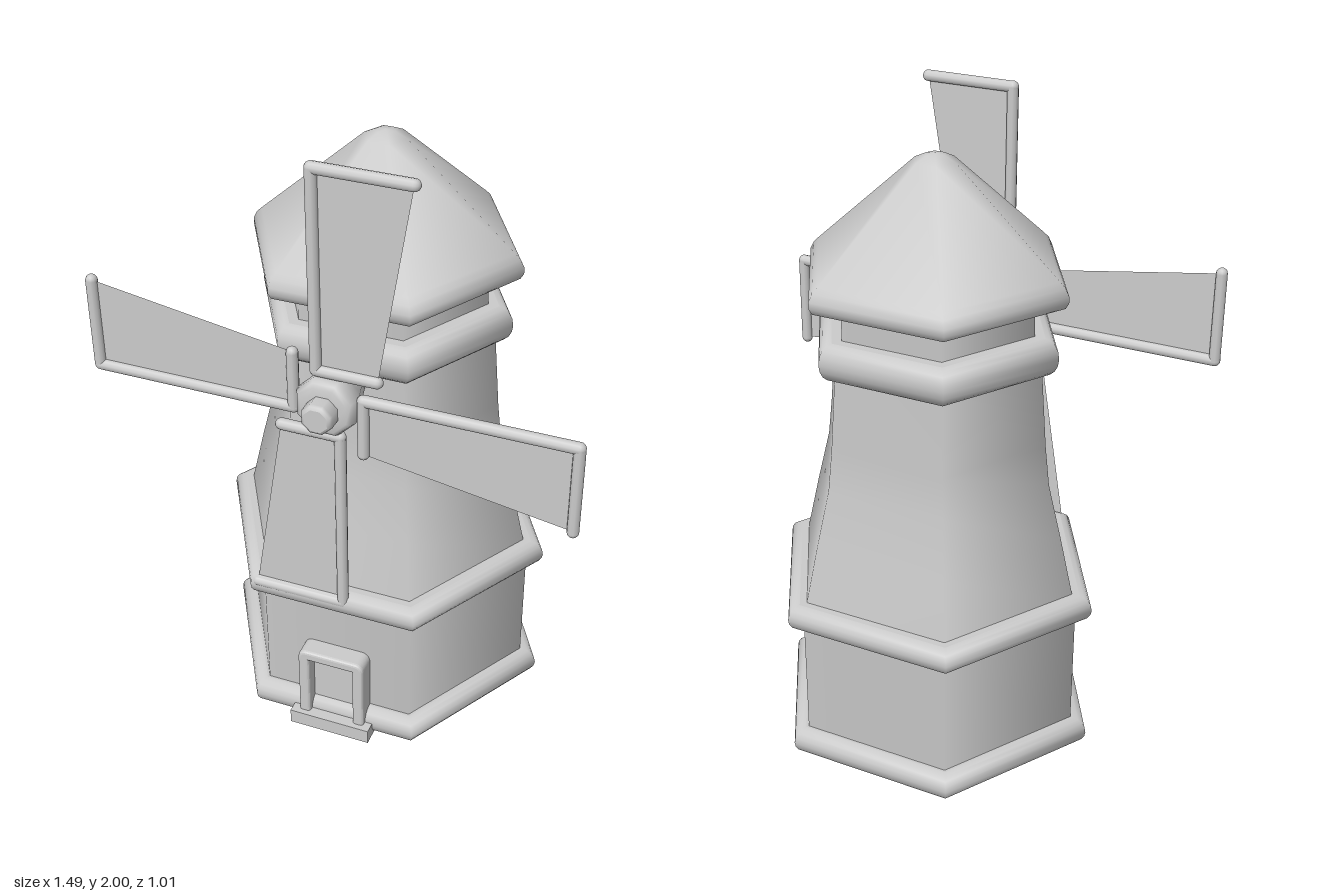
import * as THREE from 'three';

const material = new THREE.MeshStandardMaterial({ color: 0xcccccc, side: THREE.DoubleSide });
const TOWER_Z = -0.04;
const HUB_Y = 1.254;
const SAIL_Z = 0.41;

function mesh(name, geometry, parent) {
  const m = new THREE.Mesh(geometry, material);
  m.name = name;
  parent.add(m);
  return m;
}

// Lathed profile of [radius, height] points; a repeated point makes a sharp edge.
function lathe(name, profile, sides, parent) {
  const points = profile.map(([r, y]) => new THREE.Vector2(r, y));
  return mesh(name, new THREE.LatheGeometry(points, sides, Math.PI / sides), parent);
}

// Six-sided band with a rounded outer edge.
function band(name, y0, y1, outer, inner, parent) {
  const half = (y1 - y0) / 2;
  const bulge = Math.min(half, 0.045);
  const profile = [[inner, y0], [outer - bulge, y0]];
  for (let i = 0; i <= 8; i++) {
    const a = -Math.PI / 2 + (i / 8) * Math.PI;
    profile.push([outer - bulge + bulge * Math.cos(a), y0 + half + half * Math.sin(a)]);
  }
  profile.push([outer - bulge, y1], [inner, y1]);
  return lathe(name, profile, 6, parent);
}

// Round-ended bar between two points in the sail plane.
function bar(name, x0, y0, x1, y1, radius, parent) {
  const a = new THREE.Vector3(x0, y0, 0), b = new THREE.Vector3(x1, y1, 0);
  const dir = b.clone().sub(a);
  const m = mesh(name, new THREE.CapsuleGeometry(radius, dir.length(), 4, 10), parent);
  m.position.copy(a).add(b).multiplyScalar(0.5);
  m.quaternion.setFromUnitVectors(new THREE.Vector3(0, 1, 0), dir.normalize());
  return m;
}

function createTower() {
  const tower = new THREE.Group();
  tower.name = 'tower';
  tower.position.z = TOWER_Z;
  band('baseBand', 0, 0.09, 0.539, 0, tower);
  lathe('lowerWall', [[0.485, 0.05], [0.485, 0.5]], 6, tower);
  band('middleBand', 0.472, 0.556, 0.539, 0.4, tower);
  lathe('taperedWall', [
    [0.478, 0.53], [0.428, 0.74], [0.382, 0.92], [0.367, 1.05], [0.345, 1.33],
  ], 6, tower);
  band('upperBand', 1.282, 1.398, 0.4, 0.28, tower);
  lathe('neck', [[0.322, 1.36], [0.32, 1.51]], 6, tower);
  // Cap roof with a rounded eave and a blunt tip
  lathe('roof', [
    [0, 1.495], [0.395, 1.495], [0.395, 1.495], [0.414, 1.502], [0.424, 1.52], [0.424, 1.54],
    [0.412, 1.563], [0.395, 1.58], [0.065, 1.88], [0.03, 1.897], [0, 1.902],
  ], 6, tower);
  return tower;
}

function createDoor() {
  const door = new THREE.Group();
  door.name = 'door';
  // Surround: an upside-down U with softened edges
  const w = 0.1, iw = 0.083, r = 0.02, top = 0.295;
  const shape = new THREE.Shape();
  shape.moveTo(-w, 0.03);
  shape.lineTo(-w, top - r);
  shape.quadraticCurveTo(-w, top, -w + r, top);
  shape.lineTo(w - r, top);
  shape.quadraticCurveTo(w, top, w, top - r);
  shape.lineTo(w, 0.03);
  shape.lineTo(iw, 0.03);
  shape.lineTo(iw, top - 0.017);
  shape.lineTo(-iw, top - 0.017);
  shape.lineTo(-iw, 0.03);
  shape.closePath();
  const frame = new THREE.ExtrudeGeometry(shape, {
    depth: 0.065, bevelEnabled: true, bevelSize: 0.01, bevelThickness: 0.01, bevelSegments: 3,
  });
  mesh('doorFrame', frame, door).position.z = 0.37;
  mesh('doorPanel', new THREE.BoxGeometry(0.16, 0.26, 0.04), door).position.set(0, 0.155, 0.38);
  mesh('doorStep', new THREE.BoxGeometry(0.268, 0.05, 0.1), door).position.set(0, 0.025, 0.413);
  return door;
}

// One sail pointing up, measured from the hub centre
function createSail() {
  const sail = new THREE.Group();
  sail.name = 'sail';
  const x = -0.035, inner = 0.106, tip = 0.728, radius = 0.018;
  bar('spar', x, inner, x, tip, radius, sail);
  bar('tipBar', x, tip, 0.25, tip, radius, sail);
  bar('innerBar', x, inner, 0.148, inner, radius, sail);
  const cloth = new THREE.Shape([
    new THREE.Vector2(x, inner), new THREE.Vector2(0.15, inner),
    new THREE.Vector2(0.25, tip), new THREE.Vector2(x, tip),
  ]);
  mesh('cloth', new THREE.ShapeGeometry(cloth), sail);
  return sail;
}

function createRotor() {
  const rotor = new THREE.Group();
  rotor.name = 'rotor';
  rotor.position.set(0, HUB_Y, SAIL_Z);
  for (let i = 0; i < 4; i++) {
    const sail = createSail();
    sail.rotation.z = -i * Math.PI / 2;
    rotor.add(sail);
  }
  // Hub: tapered shaft, eight-sided boss and a small nose, turned to face front
  const hub = lathe('hub', [
    [0.052, -0.17], [0.065, -0.12], [0.09, -0.035], [0.096, -0.012], [0.096, 0.015],
    [0.088, 0.032], [0.075, 0.04], [0.05, 0.042], [0.05, 0.042],
    [0.05, 0.08], [0.047, 0.09], [0.038, 0.095], [0.038, 0.095], [0, 0.095],
  ], 8, rotor);
  hub.rotation.x = Math.PI / 2;
  return rotor;
}

export function createModel() {
  const model = new THREE.Group();
  model.name = 'windmill';
  model.add(createTower(), createDoor(), createRotor());
  return model;
}
